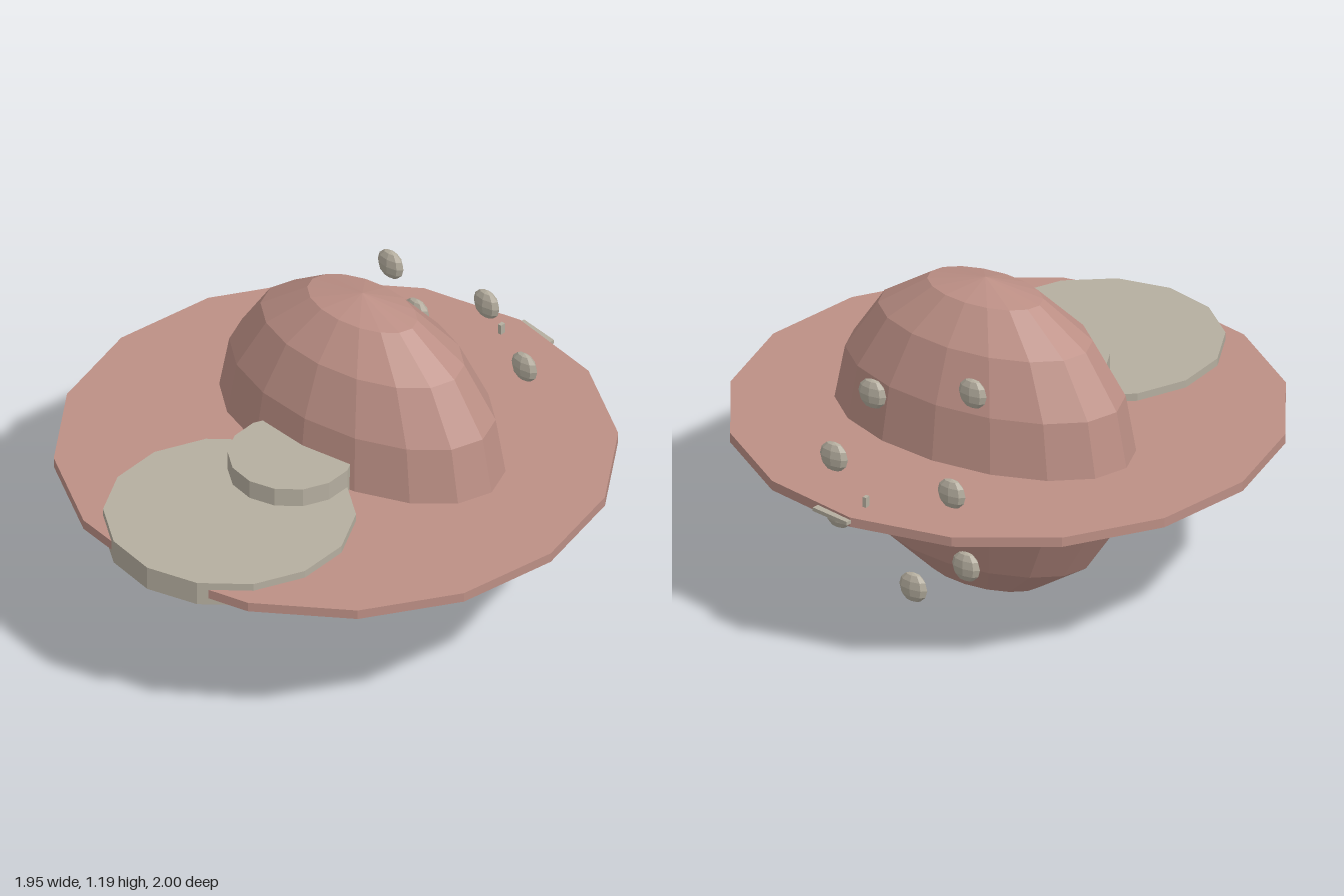
import * as THREE from 'three';

const rose = new THREE.MeshStandardMaterial({ color: 0xbc8f85 });
rose.name = 'dustyRose';
rose.flatShading = true;
const grey = new THREE.MeshStandardMaterial({ color: 0xb5ae9f });
grey.name = 'warmGrey';
grey.flatShading = true;

export function createModel() {
  const model = new THREE.Group();

  function add(name, geometry, material, x, y, z) {
    const mesh = new THREE.Mesh(geometry, material);
    mesh.name = name;
    mesh.position.set(x, y, z);
    model.add(mesh);
    return mesh;
  }
  const ellipsoid = (rx, ry, rz, sides, rings) =>
    new THREE.SphereGeometry(1, sides, rings).scale(rx, ry, rz);
  const disc = (radius, height, sides) =>
    new THREE.CylinderGeometry(radius, radius, height, sides);

  // Flattened body and the wide brim around it
  add('body', ellipsoid(0.592, 0.595, 0.332, 16, 8), rose, 0, 0.595, -0.143);
  add('brim', disc(0.977, 0.036, 16), rose, 0, 0.599, -0.003);

  // Snout: broad disc with a smaller, taller one behind it
  add('snoutDisc', disc(0.437, 0.09, 14), grey, 0, 0.6, 0.561);
  add('snoutHub', disc(0.22, 0.236, 14), grey, 0, 0.598, 0.235);

  // Mouth plate and eyes under the brim
  add('mouth', new THREE.BoxGeometry(0.14, 0.018, 0.19), rose, 0, 0.372, 0.405);
  for (const side of [-1, 1]) {
    add('eye', ellipsoid(0.033, 0.015, 0.043, 8, 6), grey, side * 0.098, 0.375, 0.222);
  }

  // Pebbles scattered behind the body
  const pebbles = [
    [-0.225, 0.982, -0.555], [0.125, 0.922, -0.655],
    [0.24, 0.672, -0.722], [-0.25, 0.672, -0.722],
    [0.22, 0.457, -0.722], [-0.265, 0.362, -0.655], [0.022, 0.153, -0.555],
  ];
  for (const [x, y, z] of pebbles) {
    add('pebble', ellipsoid(0.058, 0.057, 0.024, 8, 6), grey, x, y, z);
  }

  // Small pin and slanted tail plate at the back edge
  add('tailPin', new THREE.BoxGeometry(0.014, 0.115, 0.02), grey, 0, 0.598, -0.88);
  const tail = add('tailPlate', new THREE.BoxGeometry(0.16, 0.014, 0.06), grey, 0.074, 0.601, -0.958);
  tail.rotation.y = -0.156;

  return model;
}
